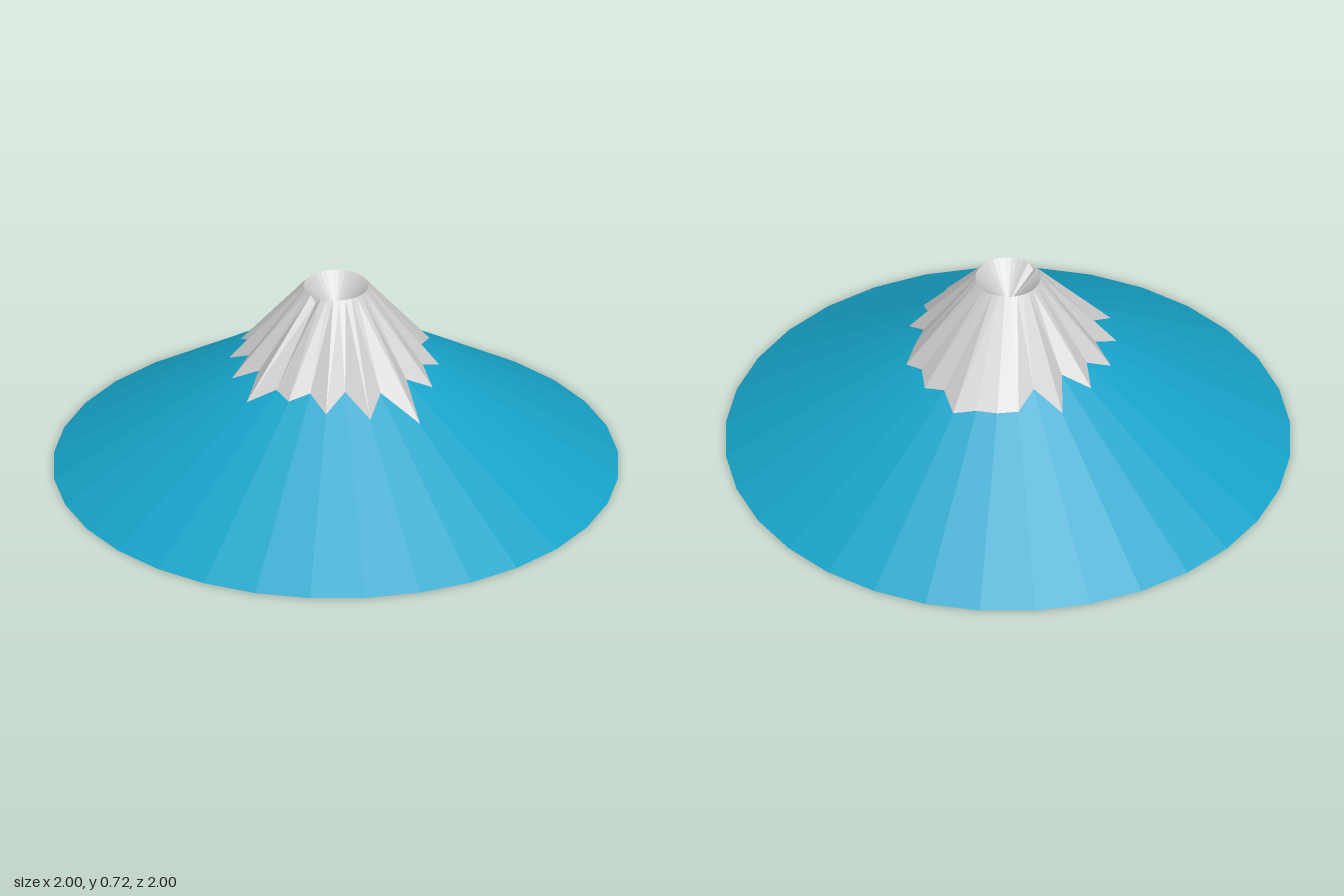
import * as THREE from 'three';

const SIDES = 32;
const SLOPE = 0.655; // rise of the mountain flank per unit of radius
const RIM_R = 0.115, TOP = 0.72;

// Radius of the snow edge at each step round the mountain, starting at +z towards +x
const SNOW_EDGE = [
  0.335, 0.36, 0.32, 0.385, 0.31, 0.41, 0.33, 0.465,
  0.32, 0.385, 0.32, 0.365, 0.30, 0.33, 0.375, 0.345,
  0.38, 0.355, 0.41, 0.385, 0.385, 0.38, 0.315, 0.41,
  0.30, 0.38, 0.315, 0.38, 0.31, 0.385, 0.31, 0.41,
];

// Open ring surface between two rings; place(step, isTop) gives [radius, y]
function ringSurface(place) {
  const geo = new THREE.CylinderGeometry(1, 1, 1, SIDES, 1, true);
  const pos = geo.attributes.position;
  for (let v = 0; v < pos.count; v++) {
    const step = v % (SIDES + 1) % SIDES;
    const [r, y] = place(step, v <= SIDES);
    const a = (step / SIDES) * Math.PI * 2;
    pos.setXYZ(v, Math.sin(a) * r, y, Math.cos(a) * r);
  }
  geo.computeVertexNormals();
  return geo;
}

export function createModel() {
  const group = new THREE.Group();
  const rock = new THREE.MeshStandardMaterial({ color: 0x16a3c8, flatShading: true, side: THREE.DoubleSide });
  const snow = new THREE.MeshStandardMaterial({ color: 0xcccccc, flatShading: true, side: THREE.DoubleSide });

  const add = (name, geo, mat) => {
    const mesh = new THREE.Mesh(geo, mat);
    mesh.name = name;
    group.add(mesh);
  };

  // Rim has a small notch at the front
  const rimY = (step) => (step === 0 ? TOP - 0.025 : TOP);

  // Flank: hollow frustum, open at both ends
  add('mountainFlank', ringSurface((s, top) => (top ? [0.3, 0.7 * SLOPE] : [1, 0])), rock);

  // Snow cap: pleated skirt whose jagged edge rests on the flank
  add('snowCap', ringSurface((s, top) => (top
    ? [RIM_R, rimY(s)]
    : [SNOW_EDGE[s], (1 - SNOW_EDGE[s]) * SLOPE + 0.005])), snow);

  // Crater: funnel sinking from the rim to a point
  add('crater', ringSurface((s, top) => (top ? [RIM_R, rimY(s)] : [0, 0.6])), snow);

  return group;
}
